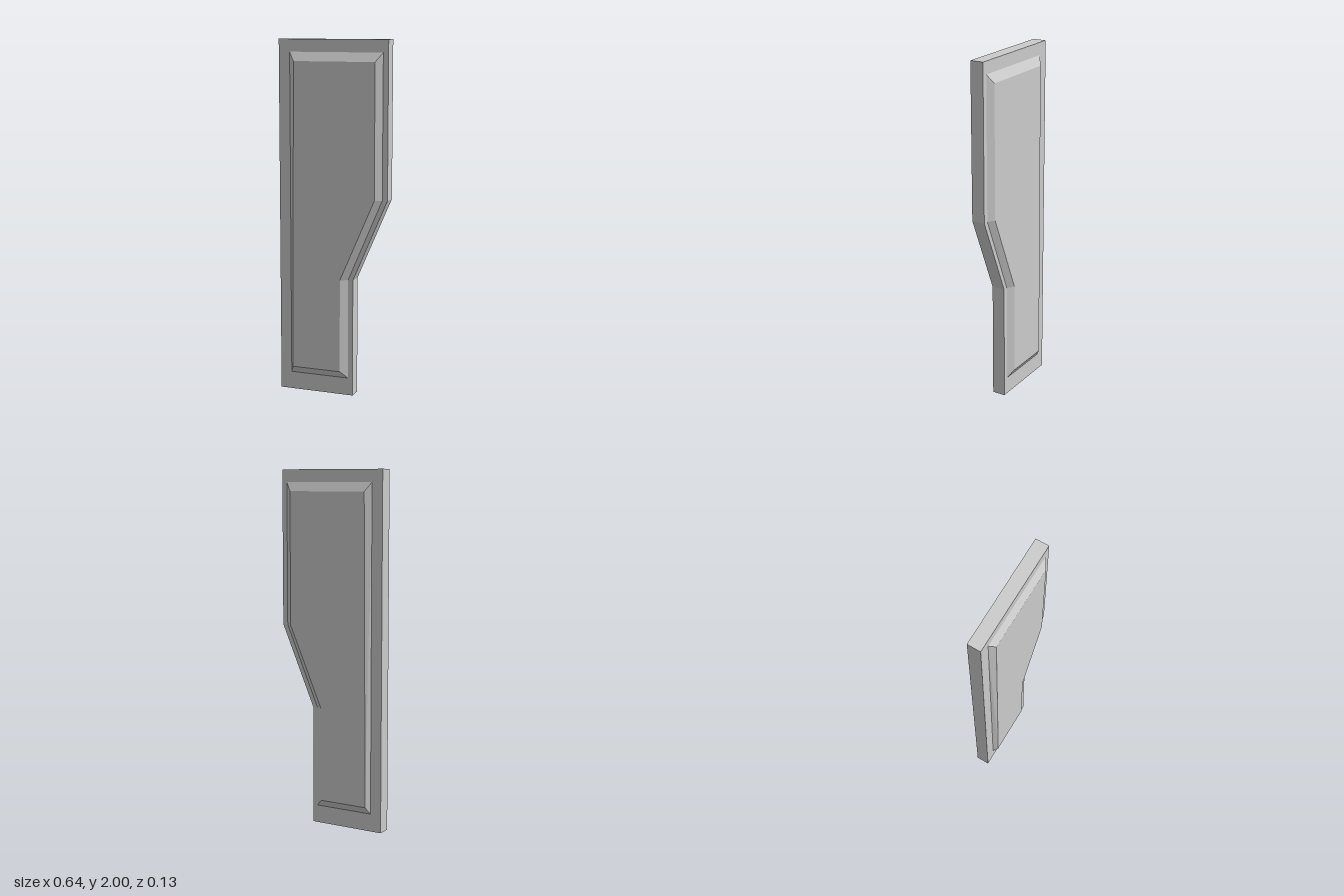
import * as THREE from 'three';

const SLAB = 0.038; // half thickness of the slab
const FACE = 0.064; // height of the raised panels from the centre plane

const toPoints = (list) => list.map(([x, y]) => new THREE.Vector2(x, y));

// Raised field with bevelled sides, lofted from one outline to another
function bevelledPanel(base, top, z0, z1) {
  const pos = [];
  const add = (p, z) => pos.push(p.x, p.y, z);
  base.forEach((a, i) => {
    const j = (i + 1) % base.length;
    const b = base[j], c = top[j], d = top[i];
    add(a, z0); add(b, z0); add(c, z1);
    add(a, z0); add(c, z1); add(d, z1);
  });
  for (const tri of THREE.ShapeUtils.triangulateShape(top, [])) {
    tri.forEach((k) => add(top[k], z1));
  }
  const geometry = new THREE.BufferGeometry();
  geometry.setAttribute('position', new THREE.Float32BufferAttribute(pos, 3));
  geometry.computeVertexNormals();
  return geometry;
}

export function createModel() {
  const model = new THREE.Group();
  model.name = 'steppedPanel';
  const material = new THREE.MeshStandardMaterial({ color: 0xcccccc, flatShading: true });

  // Slab: wide at the top, stepping in along a slope to a narrow foot
  const outline = toPoints([[-0.32, 0], [0.12, 0], [0.12, 0.67], [0.32, 1.13], [0.32, 2], [-0.32, 2]]);
  const slabGeometry = new THREE.ExtrudeGeometry(new THREE.Shape(outline), {
    depth: SLAB * 2, bevelEnabled: false,
  });
  slabGeometry.translate(0, 0, -SLAB);
  const slab = new THREE.Mesh(slabGeometry, material);
  slab.name = 'slab';
  model.add(slab);

  // Raised panels on both faces
  const base = toPoints([[-0.255, 0.1], [0.092, 0.1], [0.092, 0.67], [0.29, 1.13], [0.29, 1.93], [-0.255, 1.93]]);
  const top = toPoints([[-0.235, 0.14], [0.052, 0.14], [0.052, 0.67], [0.253, 1.13], [0.253, 1.88], [-0.222, 1.88]]);
  const front = new THREE.Mesh(bevelledPanel(base, top, SLAB, FACE), material);
  front.name = 'frontRaisedPanel';
  const back = front.clone();
  back.name = 'backRaisedPanel';
  back.scale.z = -1;
  model.add(front, back);

  return model;
}
